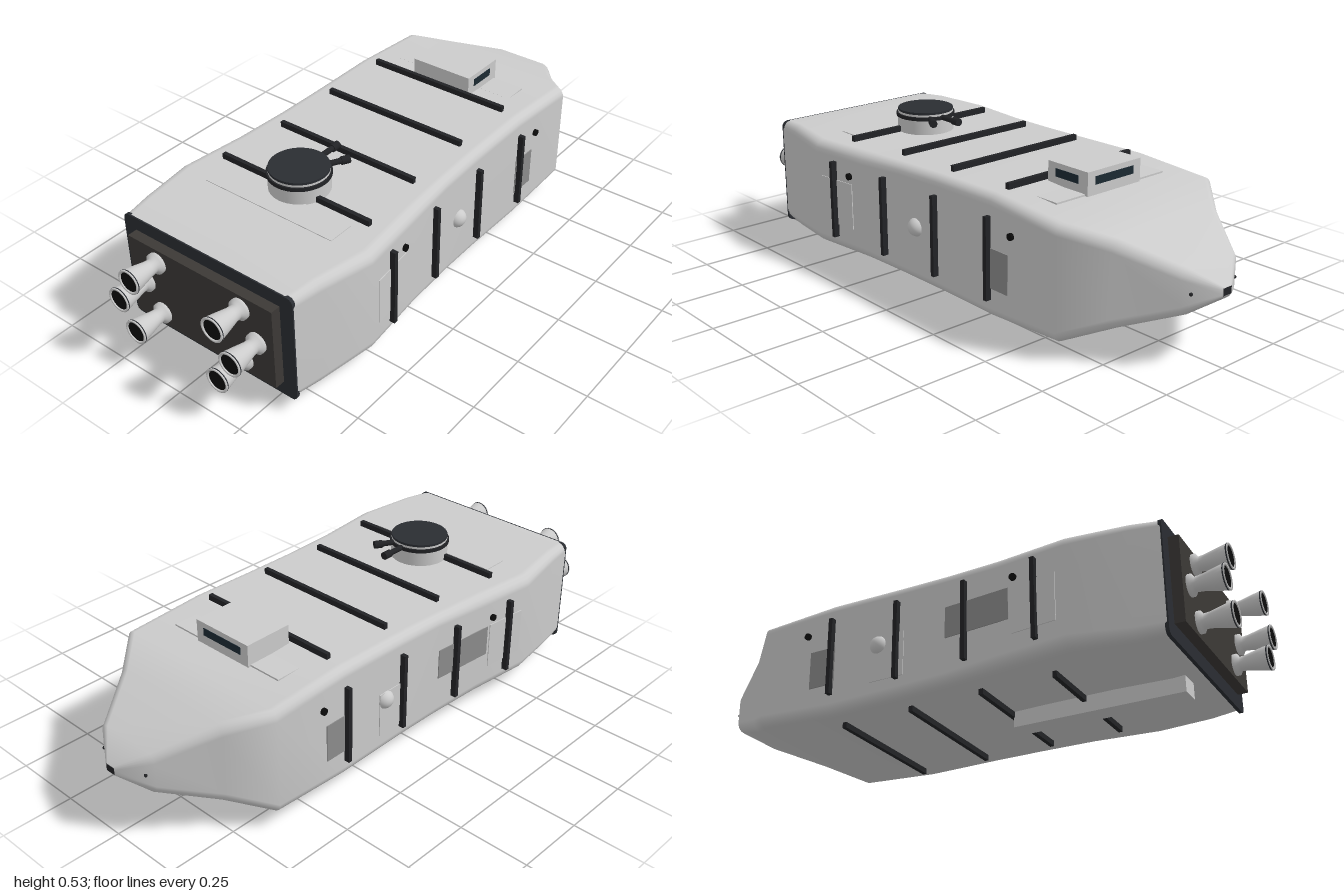
import * as THREE from 'three';

const mat = (color, side = THREE.FrontSide) => new THREE.MeshStandardMaterial({ color, side });
const GREY = mat(0xcccccc), GREY2 = mat(0xcccccc, THREE.DoubleSide);
const DARK = mat(0x222326), CAP = mat(0x2a2d32), PLATE = mat(0x3c3936);
const BLACK = mat(0x0c0c0c), GLASS = mat(0x1c2a33), PANEL = mat(0x8c8c8c);

// hull stations: z, half width, bottom y, top y, corner radius
const STATIONS = [
  [0.84, 0.345, 0.06, 0.443, 0.03],
  [0.74, 0.362, 0.053, 0.45, 0.035],
  [0.54, 0.397, 0.058, 0.445, 0.04],
  [0.3, 0.372, 0.057, 0.446, 0.04],
  [0.1, 0.356, 0.053, 0.45, 0.035],
  [-0.08, 0.351, 0.05, 0.454, 0.035],
  [-0.35, 0.35, 0.045, 0.458, 0.035],
  [-0.64, 0.35, 0.06, 0.44, 0.035],
  [-0.76, 0.24, 0.112, 0.395, 0.035],
  [-0.93, 0.125, 0.18, 0.325, 0.03],
  [-1, 0.022, 0.235, 0.265, 0.008],
];

// interpolated hull size at z
function hullAt(z) {
  let i = 0;
  while (i < STATIONS.length - 2 && STATIONS[i + 1][0] > z) i++;
  const a = STATIONS[i], b = STATIONS[i + 1], t = (z - a[0]) / (b[0] - a[0]);
  const [, w, y0, y1] = a.map((v, k) => v + (b[k] - v) * t);
  return { w, y0, y1, slope: (b[1] - a[1]) / (b[0] - a[0]) };
}

// rounded rectangle cross-section, counter-clockwise seen from +z
function section([z, w, y0, y1, r]) {
  const pts = [], n = 4;
  const corners = [[w - r, y1 - r], [r - w, y1 - r], [r - w, y0 + r], [w - r, y0 + r]];
  corners.forEach(([cx, cy], q) => {
    for (let k = 0; k <= n; k++) {
      const a = (q + k / n) * Math.PI / 2;
      pts.push([cx + r * Math.cos(a), cy + r * Math.sin(a), z]);
    }
  });
  return pts;
}

function hullGeometry() {
  const rings = STATIONS.map(section), n = rings[0].length, index = [];
  for (let i = 0; i < rings.length - 1; i++) {
    for (let j = 0; j < n; j++) {
      const a = i * n + j, b = i * n + (j + 1) % n;
      index.push(a, a + n, b, b, a + n, b + n);
    }
  }
  const last = (rings.length - 1) * n;
  for (let j = 1; j < n - 1; j++) index.push(last, last + j + 1, last + j);
  const g = new THREE.BufferGeometry();
  g.setAttribute('position', new THREE.Float32BufferAttribute(rings.flat(2), 3));
  g.setIndex(index);
  g.computeVertexNormals();
  return g;
}

export function createModel() {
  const model = new THREE.Group();
  const add = (name, geo, material, x = 0, y = 0, z = 0, parent = model) => {
    const m = new THREE.Mesh(geo, material);
    m.name = name;
    m.position.set(x, y, z);
    parent.add(m);
    return m;
  };
  const box = (w, h, d) => new THREE.BoxGeometry(w, h, d);

  add('hull', hullGeometry(), GREY);

  // stern cap with rounded corners and raised engine plate
  const cap = new THREE.Shape(section([0, 0.345, 0.05, 0.443, 0.02]).map(([x, y]) => new THREE.Vector2(x, y)));
  add('sternCap', new THREE.ExtrudeGeometry(cap, { depth: 0.012, bevelEnabled: false }), CAP, 0, 0, 0.833);
  add('enginePlate', box(0.59, 0.295, 0.04), PLATE, 0, 0.25, 0.86);

  // six engine bells
  const bell = new THREE.LatheGeometry(
    [[0.036, 0], [0.036, 0.012], [0.024, 0.02], [0.026, 0.04], [0.036, 0.085], [0.043, 0.12], [0.035, 0.12], [0.02, 0.03]]
      .map(([r, y]) => new THREE.Vector2(r, y)), 24);
  for (const s of [-1, 1]) {
    for (const [x, y] of [[0.172, 0.35], [0.231, 0.25], [0.172, 0.152]]) {
      const engine = new THREE.Group();
      engine.name = 'engine';
      engine.position.set(s * x, y, 0.88);
      engine.rotation.x = Math.PI / 2;
      model.add(engine);
      add('bell', bell, GREY2, 0, 0, 0, engine);
      add('bellThroat', new THREE.CylinderGeometry(0.034, 0.025, 0.075, 24), BLACK, 0, 0.08, 0, engine);
      const rim = add('bellRim', new THREE.TorusGeometry(0.039, 0.004, 8, 24), CAP, 0, 0.116, 0, engine);
      rim.rotation.x = Math.PI / 2;
    }
  }

  // reinforcing ribs around the hull
  for (const [z, top] of [[0.437, 0.305], [0.177, 0.28], [-0.085, 0.28], [-0.347, 0.275]]) {
    const { w, y0, y1 } = hullAt(z);
    add('topRib', box(top * 2, 0.04, 0.015), DARK, 0, y1, z);
    add('bottomRib', box(0.52, 0.04, 0.015), DARK, 0, y0, z);
    for (const s of [-1, 1]) add('sideRib', box(0.04, 0.28, 0.015), DARK, s * w, 0.25, z);
  }

  // flush panels lying along the hull sides
  const sidePanel = (s, z0, z1, y0, y1, material) => {
    const z = (z0 + z1) / 2, h = hullAt(z);
    const p = add('sidePanel', box(0.006, y1 - y0, z1 - z0), material, s * h.w, (y0 + y1) / 2, z);
    p.rotation.y = s * Math.atan(h.slope);
  };
  for (const s of [-1, 1]) {
    sidePanel(s, -0.435, -0.335, 0.15, 0.285, PANEL);
    sidePanel(s, 0.35, 0.51, 0.155, 0.322, GREY);
    // small round ports
    for (const z of [0.36, -0.45]) {
      const port = add('port', new THREE.CylinderGeometry(0.012, 0.012, 0.02, 16), BLACK, s * hullAt(z).w, 0.35, z);
      port.rotation.z = Math.PI / 2;
    }
    // domes, staggered between the two sides
    const dz = s > 0 ? 0.022 : -0.16;
    add('sideDome', new THREE.SphereGeometry(0.033, 24, 16), GREY, s * (hullAt(dz).w - 0.008), 0.25, dz);
  }
  sidePanel(-1, -0.19, -0.06, 0.12, 0.28, GREY);
  sidePanel(-1, 0.1, 0.34, 0.21, 0.32, PANEL);

  // flush deck panels
  add('deckPanel', box(0.52, 0.006, 0.095), GREY, 0, hullAt(0.522).y1, 0.522);
  add('deckPanel', box(0.48, 0.006, 0.09), GREY, 0, hullAt(-0.485).y1, -0.485);

  // bridge box with dark windows
  add('bridge', box(0.236, 0.085, 0.175), GREY, 0, 0.4825, -0.4525);
  add('bridgeSideWindow', box(0.004, 0.027, 0.1), GLASS, 0.118, 0.493, -0.45);
  add('bridgeFrontWindow', box(0.17, 0.027, 0.004), GLASS, 0, 0.493, -0.54);

  // turret: stacked discs and two barrels
  const turret = new THREE.Group();
  turret.name = 'turret';
  turret.position.set(0, 0, 0.41);
  model.add(turret);
  const disc = (name, r, y0, y1, m) =>
    add(name, new THREE.CylinderGeometry(r, r, y1 - y0, 40), m, 0, (y0 + y1) / 2, 0, turret);
  disc('turretBase', 0.102, 0.44, 0.5, GREY);
  disc('turretRing', 0.106, 0.498, 0.511, DARK);
  disc('turretCollar', 0.1, 0.511, 0.519, GREY);
  disc('turretTop', 0.1, 0.519, 0.527, CAP);
  for (const angle of [0, -0.5]) {
    const mount = new THREE.Group();
    mount.name = 'gun';
    mount.position.y = 0.505;
    mount.rotation.y = angle;
    turret.add(mount);
    const len = angle ? 0.1 : 0.12;
    const barrel = add('barrel', new THREE.CylinderGeometry(0.01, 0.01, len, 12), DARK, 0, 0, -0.07 - len / 2, mount);
    const muzzle = add('muzzle', new THREE.CylinderGeometry(0.014, 0.014, 0.03, 12), DARK, 0, 0, -0.057 - len, mount);
    barrel.rotation.x = muzzle.rotation.x = Math.PI / 2;
  }

  // keel fin below the stern
  add('keel', box(0.076, 0.07, 0.6), GREY, 0, 0.035, 0.48);

  // nose sensor and side lamps
  add('noseSensor', box(0.036, 0.024, 0.006), DARK, 0, 0.25, -0.998);
  for (const s of [-1, 1]) add('noseLamp', new THREE.SphereGeometry(0.006, 10, 8), DARK, s * 0.1, 0.25, -0.947);

  return model;
}
